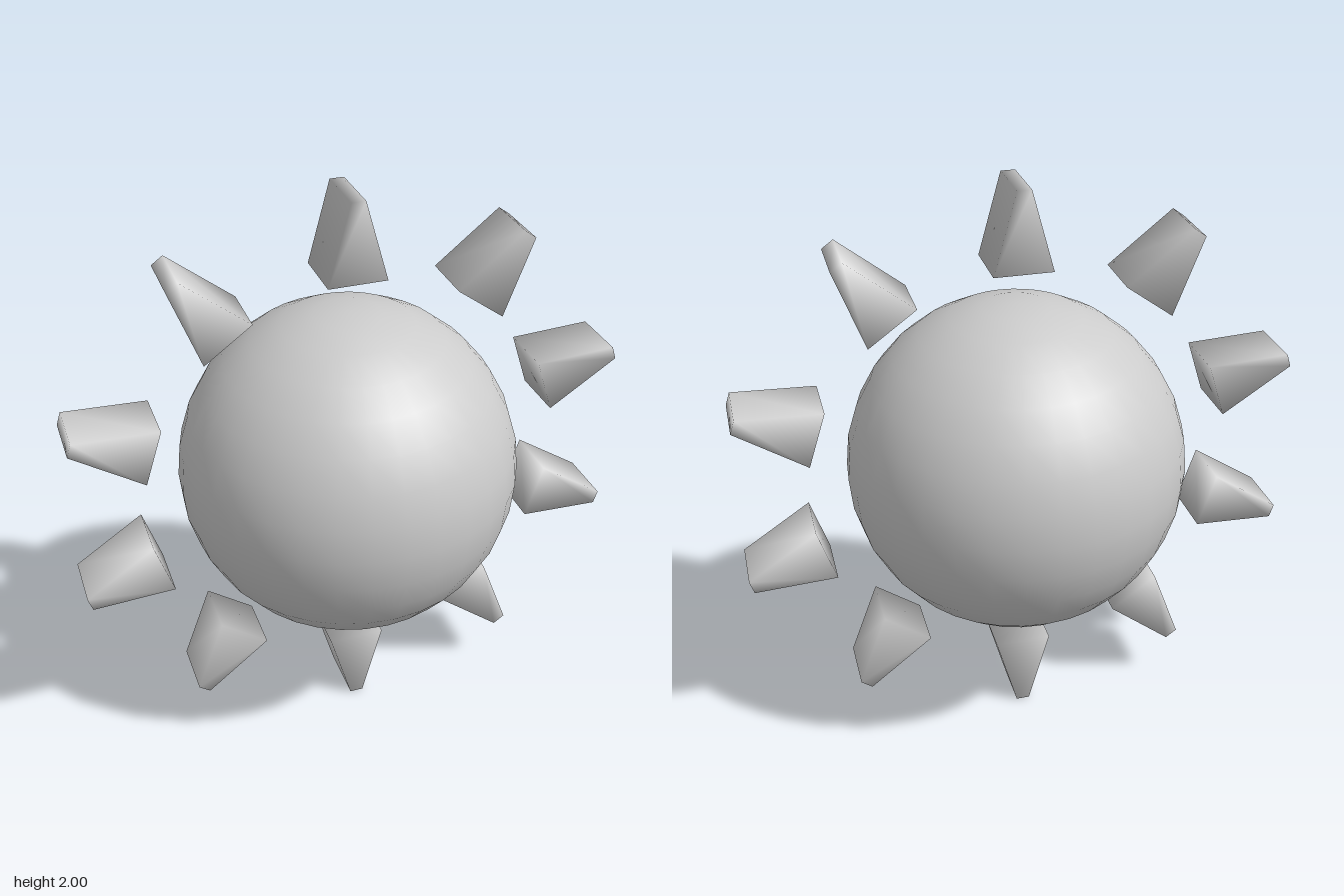
import * as THREE from 'three';
import { mergeVertices } from 'three/addons/utils/BufferGeometryUtils.js';

const CENTRE_Y = 1;
const BALL_RADIUS = 0.587;
const RAY_COUNT = 10;
const RAY_INNER = 0.725, RAY_OUTER = 1;
const RAY_BASE = 0.2, RAY_TIP = 0.048, RAY_DEPTH = 0.205;

// Wedge that narrows outwards across its width only, with shared smooth corners
function rayGeometry() {
  const box = new THREE.BoxGeometry(1, RAY_OUTER - RAY_INNER, RAY_DEPTH);
  box.deleteAttribute('normal');
  box.deleteAttribute('uv');
  const geometry = mergeVertices(box);
  const p = geometry.attributes.position;
  for (let i = 0; i < p.count; i++) {
    p.setX(i, p.getX(i) * (p.getY(i) > 0 ? RAY_TIP : RAY_BASE));
  }
  geometry.translate(0, (RAY_INNER + RAY_OUTER) / 2, 0);
  geometry.computeVertexNormals();
  return geometry;
}

export function createModel() {
  const model = new THREE.Group();
  model.name = 'sun';
  const material = new THREE.MeshStandardMaterial({ color: 0xcccccc });

  // Central ball
  const ball = new THREE.Mesh(new THREE.SphereGeometry(BALL_RADIUS, 32, 16), material);
  ball.name = 'ball';
  ball.position.y = CENTRE_Y;
  model.add(ball);

  // Ring of rays floating around the ball
  const rays = new THREE.Group();
  rays.name = 'rays';
  rays.position.y = CENTRE_Y;
  const geometry = rayGeometry();
  for (let i = 0; i < RAY_COUNT; i++) {
    const ray = new THREE.Mesh(geometry, material);
    ray.name = `ray${i + 1}`;
    ray.rotation.z = -(i * 2 * Math.PI) / RAY_COUNT;
    rays.add(ray);
  }
  model.add(rays);

  return model;
}
